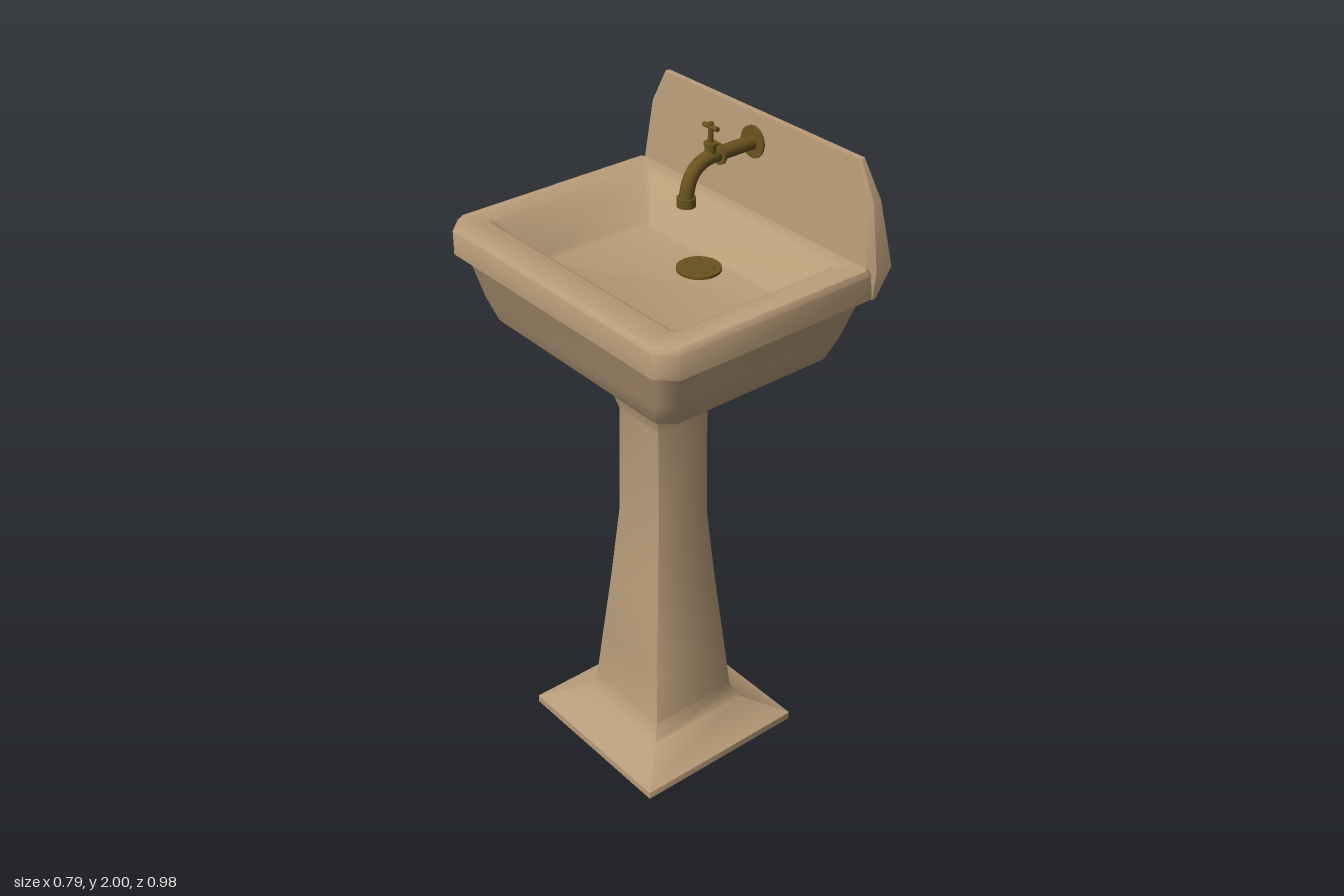
import * as THREE from 'three';
import { toCreasedNormals } from 'three/addons/utils/BufferGeometryUtils.js';

// Rectangle ring at height y; corners cut by cA on the -x side and cB on the +x side
function ring(y, x0, x1, z0, z1, cA = 0.01, cB = cA) {
  return [
    [x1, y, z1 - cB], [x1, y, z0 + cB], [x1 - cB, y, z0], [x0 + cA, y, z0],
    [x0, y, z0 + cA], [x0, y, z1 - cA], [x0 + cA, y, z1], [x1 - cB, y, z1],
  ];
}

// Closed solid through a list of rings, capped at both ends
function loft(rings, crease = 0.85) {
  const n = rings[0].length, pos = [], idx = [];
  rings.forEach((r) => r.forEach((p) => pos.push(...p)));
  for (let i = 0; i < rings.length - 1; i++) {
    for (let j = 0; j < n; j++) {
      const a = i * n + j, b = i * n + (j + 1) % n;
      idx.push(a, b, b + n, a, b + n, a + n);
    }
  }
  const last = (rings.length - 1) * n;
  for (let j = 1; j < n - 1; j++) {
    idx.push(0, j + 1, j);
    idx.push(last, last + j, last + j + 1);
  }
  const g = new THREE.BufferGeometry();
  g.setAttribute('position', new THREE.Float32BufferAttribute(pos, 3));
  g.setIndex(idx);
  return toCreasedNormals(g, crease);
}

export function createModel() {
  const ceramic = new THREE.MeshStandardMaterial({ color: 0xb99d79 });
  ceramic.name = 'beige ceramic';
  const brass = new THREE.MeshStandardMaterial({ color: 0x69531f });
  brass.name = 'aged brass';

  const model = new THREE.Group();
  model.name = 'pedestalSink';
  const add = (name, geometry, material, parent = model) => {
    const mesh = new THREE.Mesh(geometry, material);
    mesh.name = name;
    parent.add(mesh);
    return mesh;
  };

  // Square pedestal: [height, half width, corner cut]
  const pedestal = [
    [0, 0.291, 0.002], [0.024, 0.291, 0.002], [0.08, 0.176, 0.002], [0.13, 0.153, 0.002],
    [0.3, 0.138, 0.002], [0.55, 0.115, 0.002], [0.8, 0.095, 0.002], [1.16, 0.092, 0.002],
    [1.26, 0.12, 0.004], [1.345, 0.212, 0.03], [1.405, 0.241, 0.05],
  ].map(([y, h, c]) => ring(y, -0.006 - h, -0.006 + h, 0.01 - h, 0.01 + h, c));
  add('pedestal', loft(pedestal), ceramic);

  // Basin: outer wall, overhanging rim, then the inside down to the floor
  // [height, left x, right x, half depth, corner cut, corner cut beside the splashback]
  const basin = [
    [1.4, -0.308, 0.285, 0.385, 0.04, 0.04], [1.41, -0.316, 0.294, 0.396, 0.04, 0.04],
    [1.48, -0.338, 0.316, 0.425, 0.04, 0.04], [1.59, -0.364, 0.335, 0.458, 0.045, 0.03],
    [1.607, -0.37, 0.335, 0.465, 0.045, 0.02], [1.612, -0.397, 0.335, 0.492, 0.05, 0.01],
    [1.685, -0.397, 0.325, 0.492, 0.05, 0.01], [1.7, -0.385, 0.318, 0.482, 0.05, 0.01],
    [1.7, -0.305, 0.28, 0.42, 0.02, 0.02], [1.69, -0.288, 0.265, 0.398, 0.015, 0.015],
    [1.595, -0.217, 0.198, 0.3, 0.012, 0.012], [1.58, -0.205, 0.185, 0.285, 0.01, 0.01],
  ].map(([y, x0, x1, z, a, b]) => ring(y, x0, x1, -z, z, a, b));
  add('basin', loft(basin), ceramic);

  // Splashback: thick at the foot, thin at the top, with its upper corners cut
  const splash = [
    [1.61, 0.312, 0.342, 0.492, 0.015], [1.69, 0.316, 0.395, 0.492, 0.02],
    [1.88, 0.33, 0.37, 0.46, 0.01], [1.985, 0.337, 0.356, 0.404, 0.005],
  ].map(([y, x0, x1, z, c]) => ring(y, x0, x1, -z, z, c, 0.003));
  add('splashback', loft(splash, 0.4), ceramic);

  // Tap
  const tap = new THREE.Group();
  tap.name = 'tap';
  tap.position.z = -0.005;
  model.add(tap);

  const path = new THREE.CurvePath();
  const v = (x, y) => new THREE.Vector3(x, y, 0);
  path.add(new THREE.LineCurve3(v(0.338, 1.9), v(0.19, 1.9)));
  path.add(new THREE.CubicBezierCurve3(v(0.19, 1.9), v(0.125, 1.9), v(0.09, 1.865), v(0.088, 1.79)));
  add('spout', new THREE.TubeGeometry(path, 28, 0.021, 14), brass, tap);

  // Round pieces of the tap: [name, radius, length, x, y, axis]
  [
    ['wallFlange', 0.047, 0.012, 0.331, 1.9, 'x'],
    ['collar', 0.032, 0.007, 0.203, 1.9, 'x'],
    ['spoutMouth', 0.027, 0.027, 0.088, 1.79, 'y'],
    ['valveBase', 0.016, 0.03, 0.173, 1.922, 'y'],
    ['valveCollar', 0.02, 0.007, 0.173, 1.938, 'y'],
    ['valveStem', 0.008, 0.07, 0.173, 1.965, 'y'],
    ['handle', 0.007, 0.058, 0.173, 1.987, 'z'],
  ].forEach(([name, r, len, x, y, axis]) => {
    const m = add(name, new THREE.CylinderGeometry(r, r, len, 20), brass, tap);
    m.position.set(x, y, 0);
    if (axis === 'x') m.rotation.z = Math.PI / 2;
    if (axis === 'z') m.rotation.x = Math.PI / 2;
  });
  add('valveTip', new THREE.ConeGeometry(0.007, 0.012, 12), brass, tap).position.set(0.173, 1.994, 0);

  // Drain: a slotted grille over a plate
  const drain = new THREE.Group();
  drain.name = 'drain';
  drain.position.set(0.118, 1.58, 0.017);
  model.add(drain);
  const grille = new THREE.Shape().absarc(0, 0, 0.065, 0, Math.PI * 2);
  for (let i = 0; i < 7; i++) {
    const a = (i / 7) * Math.PI * 2, w = 0.33;
    const hole = new THREE.Path();
    hole.moveTo(Math.cos(a) * 0.013, Math.sin(a) * 0.013);
    hole.absarc(0, 0, 0.044, a - w, a + w);
    hole.closePath();
    grille.holes.push(hole);
  }
  const grilleGeo = new THREE.ExtrudeGeometry(grille, { depth: 0.008, bevelEnabled: false, curveSegments: 16 });
  grilleGeo.rotateX(-Math.PI / 2);
  add('drainGrille', grilleGeo, brass, drain);
  add('drainPlate', new THREE.CylinderGeometry(0.06, 0.06, 0.004, 24), brass, drain);

  return model;
}
